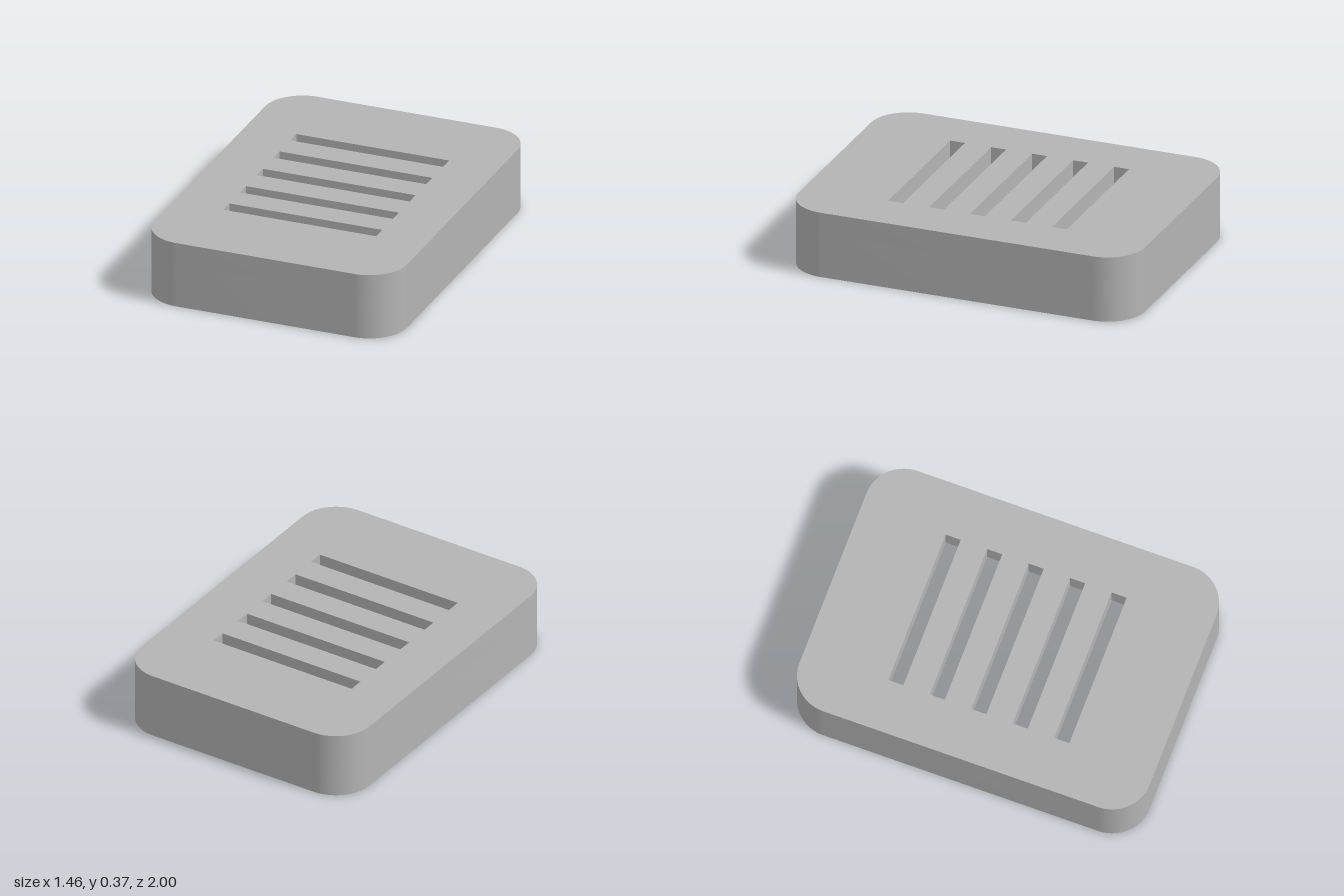
import * as THREE from 'three';

const W = 1.46, D = 2, H = 0.374, R = 0.215; // outer size and corner radius
const WALL = 0.073, PLATE = 0.123;           // rim and top thickness
const SLOTS = 5, PITCH = 0.237, SLOT_W = 0.884, SLOT_D = 0.086;

// Rectangle with rounded corners, centred on the origin
function roundedRect(target, w, d, r) {
  const x = w / 2, y = d / 2;
  target.moveTo(-x + r, -y);
  target.lineTo(x - r, -y);
  target.absarc(x - r, -y + r, r, -Math.PI / 2, 0);
  target.lineTo(x, y - r);
  target.absarc(x - r, y - r, r, 0, Math.PI / 2);
  target.lineTo(-x + r, y);
  target.absarc(-x + r, y - r, r, Math.PI / 2, Math.PI);
  target.lineTo(-x, -y + r);
  target.absarc(-x + r, -y + r, r, Math.PI, Math.PI * 1.5);
  return target;
}

function slotPath(z) {
  const x = SLOT_W / 2, d = SLOT_D / 2;
  return new THREE.Path([[-x, z - d], [x, z - d], [x, z + d], [-x, z + d]]
    .map(([a, b]) => new THREE.Vector2(a, b)));
}

// Extrude a plan shape upwards between two heights
function slab(name, shape, y0, y1, material) {
  const geometry = new THREE.ExtrudeGeometry(shape, { depth: y1 - y0, bevelEnabled: false, curveSegments: 20 });
  geometry.rotateX(-Math.PI / 2).translate(0, y0, 0);
  const mesh = new THREE.Mesh(geometry, material);
  mesh.name = name;
  return mesh;
}

export function createModel() {
  const grey = new THREE.MeshStandardMaterial({ color: 0xb4b4b4 });
  grey.name = 'plain grey';
  const group = new THREE.Group();
  group.name = 'slottedTray';

  // Flat top with five drainage slots
  const top = roundedRect(new THREE.Shape(), W, D, R);
  for (let i = 0; i < SLOTS; i++) top.holes.push(slotPath((i - (SLOTS - 1) / 2) * PITCH + 0.003));
  group.add(slab('slottedTop', top, H - PLATE, H, grey));

  // Surrounding wall, open underneath
  const wall = roundedRect(new THREE.Shape(), W, D, R);
  wall.holes.push(roundedRect(new THREE.Path(), W - 2 * WALL, D - 2 * WALL, R - WALL));
  group.add(slab('sideWall', wall, 0, H - PLATE, grey));

  // Smooth the rounded corners while keeping the rims sharp
  group.traverse((o) => { if (o.isMesh) smoothCorners(o.geometry); });
  return group;
}

// Average the normals of side faces that meet at a shallow angle
function smoothCorners(geometry) {
  const p = geometry.attributes.position, n = geometry.attributes.normal;
  const shared = new Map(), normals = [];
  for (let i = 0; i < p.count; i++) {
    const key = [p.getX(i), p.getY(i), p.getZ(i)].map((v) => Math.round(v * 1e4)).join();
    if (!shared.has(key)) shared.set(key, []);
    shared.get(key).push(i);
    normals.push(new THREE.Vector3().fromBufferAttribute(n, i));
  }
  for (const list of shared.values()) {
    for (const i of list) {
      const sum = new THREE.Vector3();
      for (const j of list) if (normals[i].dot(normals[j]) > 0.85) sum.add(normals[j]);
      sum.normalize();
      n.setXYZ(i, sum.x, sum.y, sum.z);
    }
  }
}
